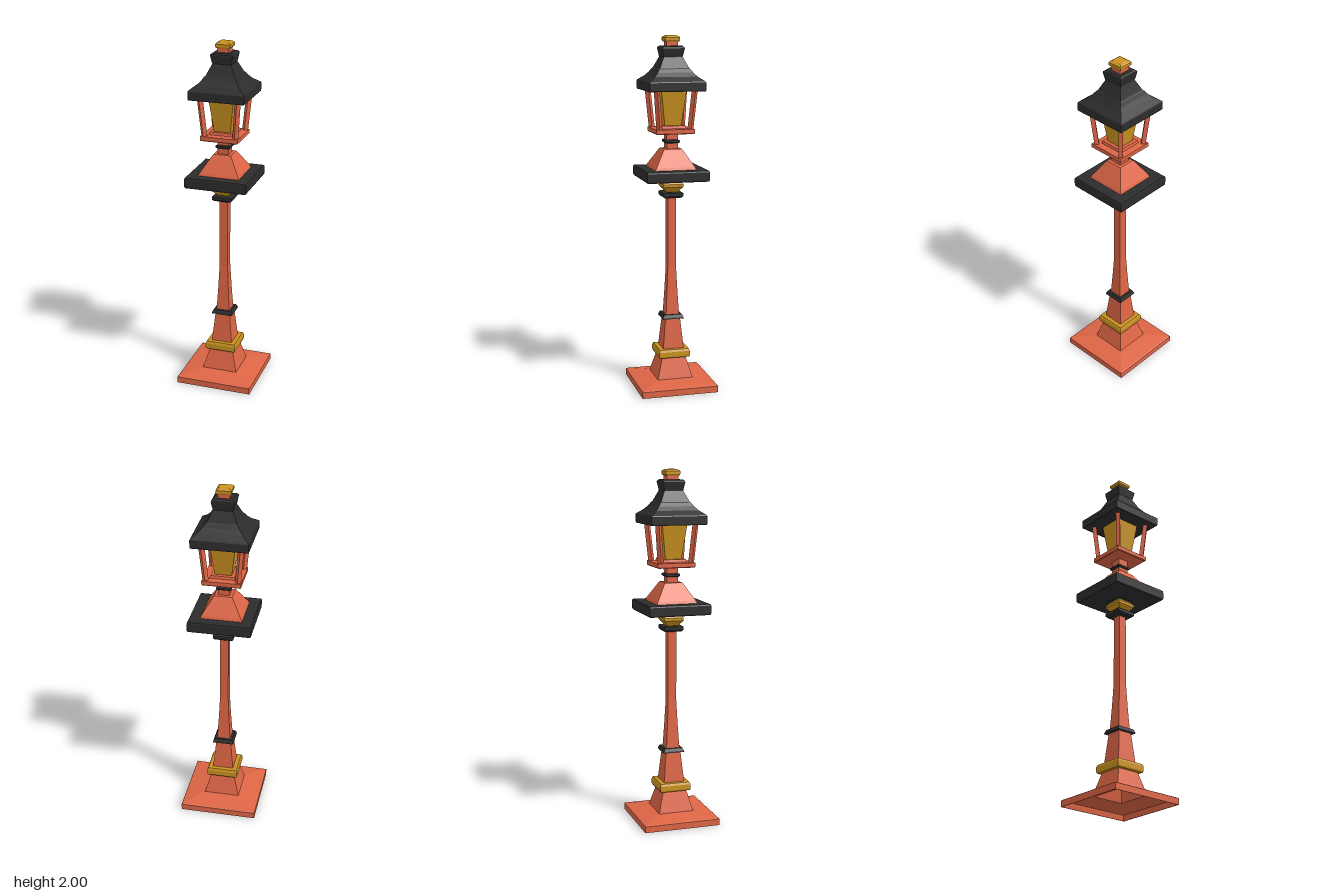
import * as THREE from 'three';

const mat = (name, color) => {
  const m = new THREE.MeshStandardMaterial({ color, flatShading: true });
  m.name = name;
  return m;
};

export function createModel() {
  const group = new THREE.Group();
  const red = mat('terracotta paint', 0xdd6545);
  const black = mat('black iron', 0x2c2c2c);
  const gold = mat('amber gold', 0xca921f);

  // Square section swept up a [half width, height] profile
  const square = (name, material, profile) => {
    const pts = profile.map(([w, y]) => new THREE.Vector2(w * Math.SQRT2, y));
    const geo = new THREE.LatheGeometry(pts, 4, Math.PI / 4).toNonIndexed();
    geo.computeVertexNormals();
    const mesh = new THREE.Mesh(geo, material);
    mesh.name = name;
    group.add(mesh);
  };
  // Same, closed at both ends
  const solid = (name, material, profile) => square(name, material,
    [[0, profile[0][1]], ...profile, [0, profile[profile.length - 1][1]]]);

  // Foot, hollow underneath
  square('foot', red, [
    [0, 0.18], [0.062, 0.18], [0.095, 0.052], [0.212, 0.032], [0.217, 0],
    [0.22, 0], [0.22, 0.036], [0.213, 0.04], [0.102, 0.06], [0.068, 0.182], [0, 0.182],
  ]);
  solid('footBand', gold, [[0.086, 0.18], [0.09, 0.188], [0.09, 0.215], [0.084, 0.228]]);

  // Post and its collars
  solid('post', red, [[0.061, 0.22], [0.042, 0.41], [0.038, 0.43], [0.031, 0.55],
    [0.024, 0.7], [0.024, 1.11]]);
  solid('postCollar', black, [[0.061, 0.402], [0.059, 0.41], [0.052, 0.425]]);
  solid('upperCollar', black, [[0.047, 1.1], [0.057, 1.11], [0.057, 1.128], [0.05, 1.132]]);
  solid('knob', gold, [[0.032, 1.13], [0.038, 1.14], [0.057, 1.162], [0.057, 1.178], [0.042, 1.197]]);

  // Wide tray with the tapered pedestal above it
  solid('tray', black, [[0.045, 1.195], [0.05, 1.203], [0.172, 1.205], [0.177, 1.213],
    [0.177, 1.258], [0.174, 1.265]]);
  solid('pedestal', red, [[0.117, 1.264], [0.11, 1.28], [0.055, 1.37], [0.05, 1.376]]);
  solid('neck', red, [[0.032, 1.37], [0.032, 1.468]]);
  solid('neckRing', black, [[0.034, 1.407], [0.041, 1.412], [0.041, 1.422], [0.034, 1.427]]);

  // Lantern
  solid('lanternBase', red, [[0.104, 1.463], [0.108, 1.467], [0.108, 1.49], [0.07, 1.492],
    [0.066, 1.507]]);
  solid('lanternGlass', gold, [[0.046, 1.5], [0.072, 1.702]]);

  // Leaning corner bars, set diagonally
  const up = new THREE.Vector3(0, 1, 0);
  for (const sx of [-1, 1]) for (const sz of [-1, 1]) {
    const a = new THREE.Vector3(sx * 0.088, 1.485, sz * 0.088);
    const b = new THREE.Vector3(sx * 0.107, 1.705, sz * 0.107);
    const geo = new THREE.BoxGeometry(0.024, a.distanceTo(b), 0.024).rotateY(Math.PI / 4);
    const bar = new THREE.Mesh(geo, red);
    bar.name = 'cornerBar';
    bar.position.copy(a).lerp(b, 0.5);
    bar.quaternion.setFromUnitVectors(up, b.sub(a).normalize());
    group.add(bar);
  }

  // Stepped roof and finial
  solid('roof', black, [[0.156, 1.7], [0.158, 1.706], [0.158, 1.748], [0.155, 1.753],
    [0.12, 1.778], [0.1, 1.8], [0.088, 1.818], [0.082, 1.823], [0.052, 1.886]]);
  solid('chimney', black, [[0.054, 1.884], [0.063, 1.93], [0.061, 1.936], [0.052, 1.943]]);
  solid('finialStem', red, [[0.032, 1.935], [0.032, 1.97]]);
  solid('finialCap', gold, [[0.036, 1.965], [0.042, 1.973], [0.042, 1.988], [0.036, 1.994], [0.024, 2]]);

  return group;
}
